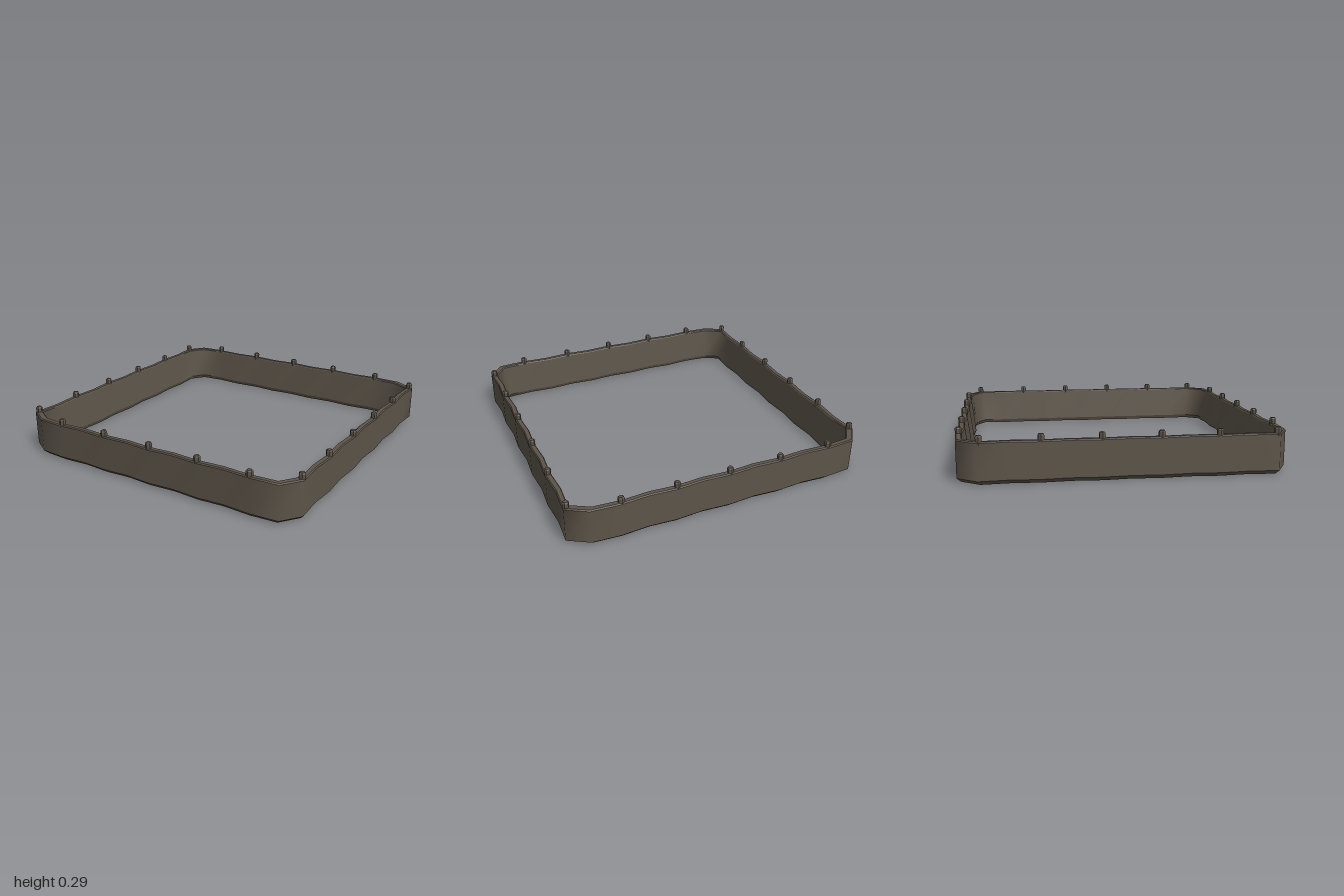
import * as THREE from 'three';

const STEP = 0.178;          // spacing of the wall stations along one side
const PER_SIDE = 11;
const START = -0.91;

// One station on a side (0 back, 1 right, 2 front, 3 left), pushed inward by inset.
// The wall swells outward at every peg and dips between pegs.
const hasPeg = (side, i) => (i + side) % 2 === 1;
function station(side, i, inset) {
  const u = (START + i * STEP) * (1 - 0.8 * inset);
  const d = (hasPeg(side, i) ? 1 : 0.988) - inset;
  return [[u, -d], [d, u], [-u, d], [-d, -u]][side];
}

// Cross-section of the wall: [inset from the outer face, height]
const PROFILE = [
  [0, 0.025], [0, 0.245], [0.006, 0.252], [0.032, 0.252],
  [0.038, 0.245], [0.065, 0.025], [0.055, 0], [0.025, 0],
];

// Each band of the section is its own strip: smooth along the ring, sharp across it
function wallGeometry() {
  const pos = [], idx = [];
  const n = 4 * PER_SIDE;
  PROFILE.forEach((p, k) => {
    const q = PROFILE[(k + 1) % PROFILE.length];
    const base = pos.length / 3;
    for (let j = 0; j < n; j++) {
      for (const [inset, y] of [p, q]) {
        const [x, z] = station(Math.floor(j / PER_SIDE), j % PER_SIDE, inset);
        pos.push(x, y, z);
      }
      const a = base + 2 * j, b = base + 2 * ((j + 1) % n);
      idx.push(a, a + 1, b, b, a + 1, b + 1);
    }
  });
  const g = new THREE.BufferGeometry();
  g.setAttribute('position', new THREE.Float32BufferAttribute(pos, 3));
  g.setIndex(idx);
  g.computeVertexNormals();
  return g;
}

// Six-sided peg with a small bevel on top
function pegGeometry() {
  const pts = [[0.021, 0.235], [0.021, 0.28], [0.015, 0.288], [0, 0.288]]
    .map(([r, y]) => new THREE.Vector2(r, y));
  const g = new THREE.LatheGeometry(pts, 6).toNonIndexed();
  g.computeVertexNormals();
  return g;
}

export function createModel() {
  const group = new THREE.Group();
  group.name = 'squareRim';
  const material = new THREE.MeshStandardMaterial({ color: 0x5c5449 });
  material.name = 'dark brown';

  const wall = new THREE.Mesh(wallGeometry(), material);
  wall.name = 'wall';
  group.add(wall);

  // Pegs along the top of the wall
  const pegs = new THREE.Group();
  pegs.name = 'pegs';
  const geometry = pegGeometry();
  for (let side = 0; side < 4; side++) {
    for (let i = 0; i < PER_SIDE; i++) {
      if (!hasPeg(side, i)) continue;
      const [x, z] = station(side, i, 0.021);
      const peg = new THREE.Mesh(geometry, material);
      peg.name = 'peg';
      peg.position.set(x, 0, z);
      peg.rotation.y = -side * Math.PI / 2;
      pegs.add(peg);
    }
  }
  group.add(pegs);
  return group;
}
